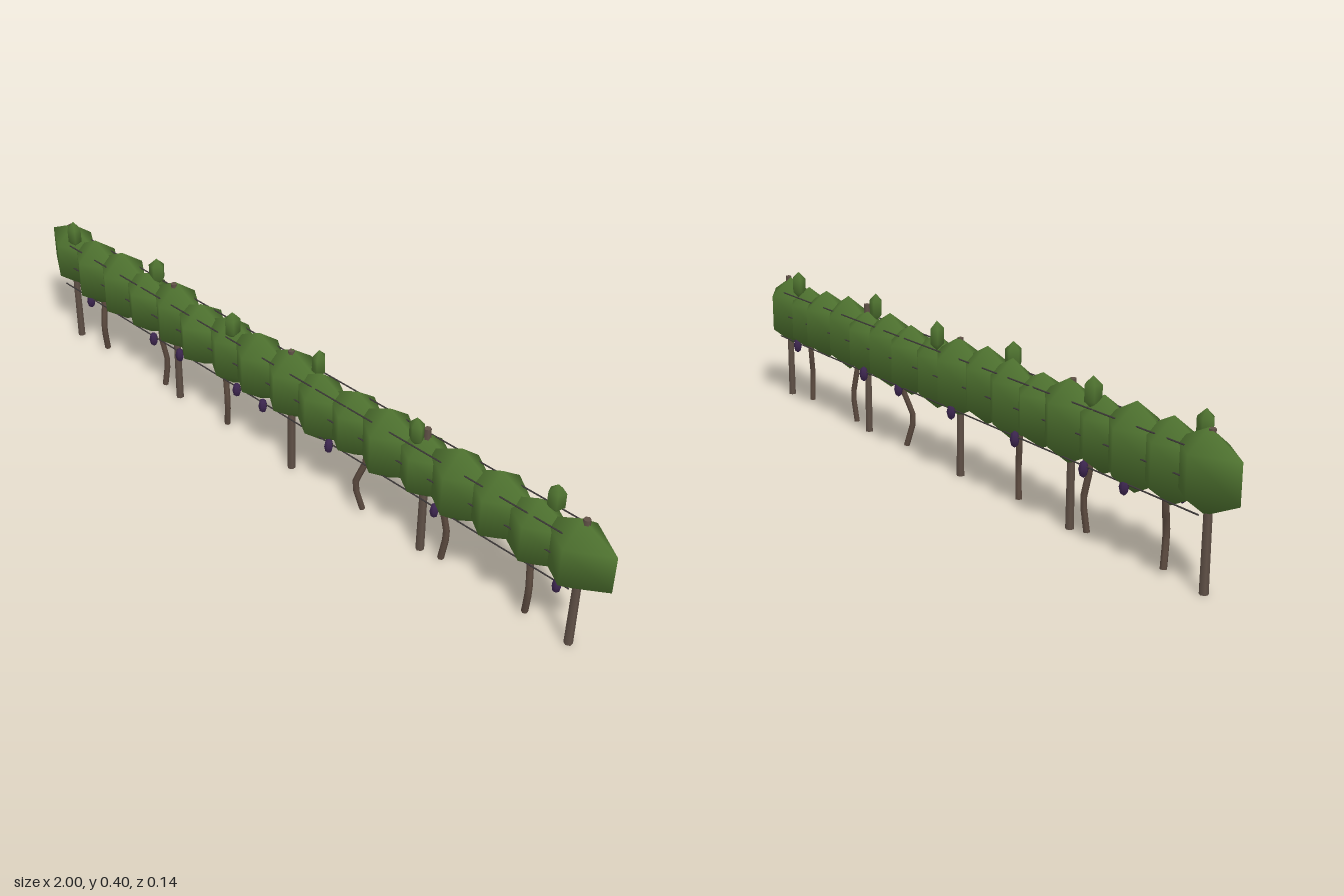
import * as THREE from 'three';

const mat = (name, color) => {
  const m = new THREE.MeshStandardMaterial({ color });
  m.name = name;
  return m;
};

export function createModel() {
  const root = new THREE.Group();
  root.name = 'vineRow';
  const leaf = mat('leafGreen', 0x4f7330);
  const wood = mat('postBrown', 0x5f5046);
  const bark = mat('barkBrown', 0x5a493e);
  const grape = mat('grapePurple', 0x3d2650);
  const steel = mat('wireGrey', 0x3c3838);

  const add = (name, geo, material, x, y, z) => {
    const m = new THREE.Mesh(geo, material);
    m.name = name;
    m.position.set(x, y, z);
    root.add(m);
    return m;
  };
  // Low-poly blob: two rings of corners between two poles
  const blob = (hx, hy, hz, sides = 4) =>
    new THREE.SphereGeometry(1, sides, 3).scale(hx / 0.866, hy, hz / 0.866);

  // Leaf canopy: top and bottom heights and sideways offset of each clump
  const tops = [0.375, 0.37, 0.375, 0.36, 0.375, 0.36, 0.37, 0.375, 0.375, 0.36, 0.36, 0.37, 0.355, 0.375, 0.37, 0.36, 0.37];
  const bottoms = [0.18, 0.165, 0.16, 0.17, 0.165, 0.17, 0.16, 0.17, 0.165, 0.155, 0.165, 0.16, 0.165, 0.16, 0.17, 0.165, 0.165];
  const shift = [-4, 3, -2, 2, -6, 3, -2, 4, -4, 4, -3, 2, -2, 4, -3, 3, 2];
  tops.forEach((top, i) => {
    const x = -0.901 + i * 0.1126;
    const hy = (top - bottoms[i]) / 2;
    add('leafClump', blob(0.099, hy, 0.06 + 0.004 * (i % 3)), leaf,
      x, bottoms[i] + hy, shift[i] * 0.001);
  });

  // Young shoots rising above the canopy
  [-0.868, -0.545, -0.2, 0.08, 0.437, 0.815].forEach((x, i) => {
    const s = add('topShoot', blob(0.022, 0.04, 0.018, 5), leaf, x, 0.364, i % 2 ? -0.018 : 0.018);
    s.rotation.y = i * 0.7;
  });

  // Straight trellis posts
  for (const x of [-0.905, -0.452, 0, 0.455, 0.91])
    add('post', new THREE.CylinderGeometry(0.009, 0.011, 0.373, 6), wood, x, 0.1865, 0);

  // Crooked vine trunks
  const bends = [[-0.778, 0.008, 0.012], [-0.515, 0.007, -0.006], [-0.252, 0.01, 0.006],
    [0.258, -0.014, 0.013], [0.522, 0.008, -0.005], [0.782, 0.009, 0.008]];
  for (const [x, bx, bz] of bends) {
    const path = new THREE.CatmullRomCurve3([
      new THREE.Vector3(0, 0.012, 0),
      new THREE.Vector3(bx, 0.095, bz),
      new THREE.Vector3(-bx * 0.3, 0.165, -bz * 0.3),
      new THREE.Vector3(0, 0.25, 0),
    ]);
    add('vineTrunk', new THREE.TubeGeometry(path, 8, 0.0085, 6), bark, x, 0, 0);
    const foot = add('trunkFoot', new THREE.CircleGeometry(0.0085, 6), bark, x, 0.012, 0);
    foot.rotation.x = Math.PI / 2;
  }

  // Grape bunches under both faces of the canopy
  const bunches = {
    1: [-0.79, -0.51, -0.4, -0.17, -0.07, 0.17, 0.52, 0.88],
    '-1': [-0.68, -0.54, -0.28, -0.01, 0.24, 0.42, 0.8],
  };
  for (const side of [1, -1])
    for (const x of bunches[side])
      add('grapeBunch', new THREE.SphereGeometry(1, 6, 4).scale(0.012, 0.022, 0.012), grape,
        x, 0.184, side * 0.036);

  // Trellis wires along both sides
  for (const y of [0.19, 0.26, 0.33])
    for (const z of [-0.033, 0.033]) {
      const w = add('wire', new THREE.CylinderGeometry(0.002, 0.002, 1.82, 5), steel, 0, y, z);
      w.rotation.z = Math.PI / 2;
    }

  return root;
}
